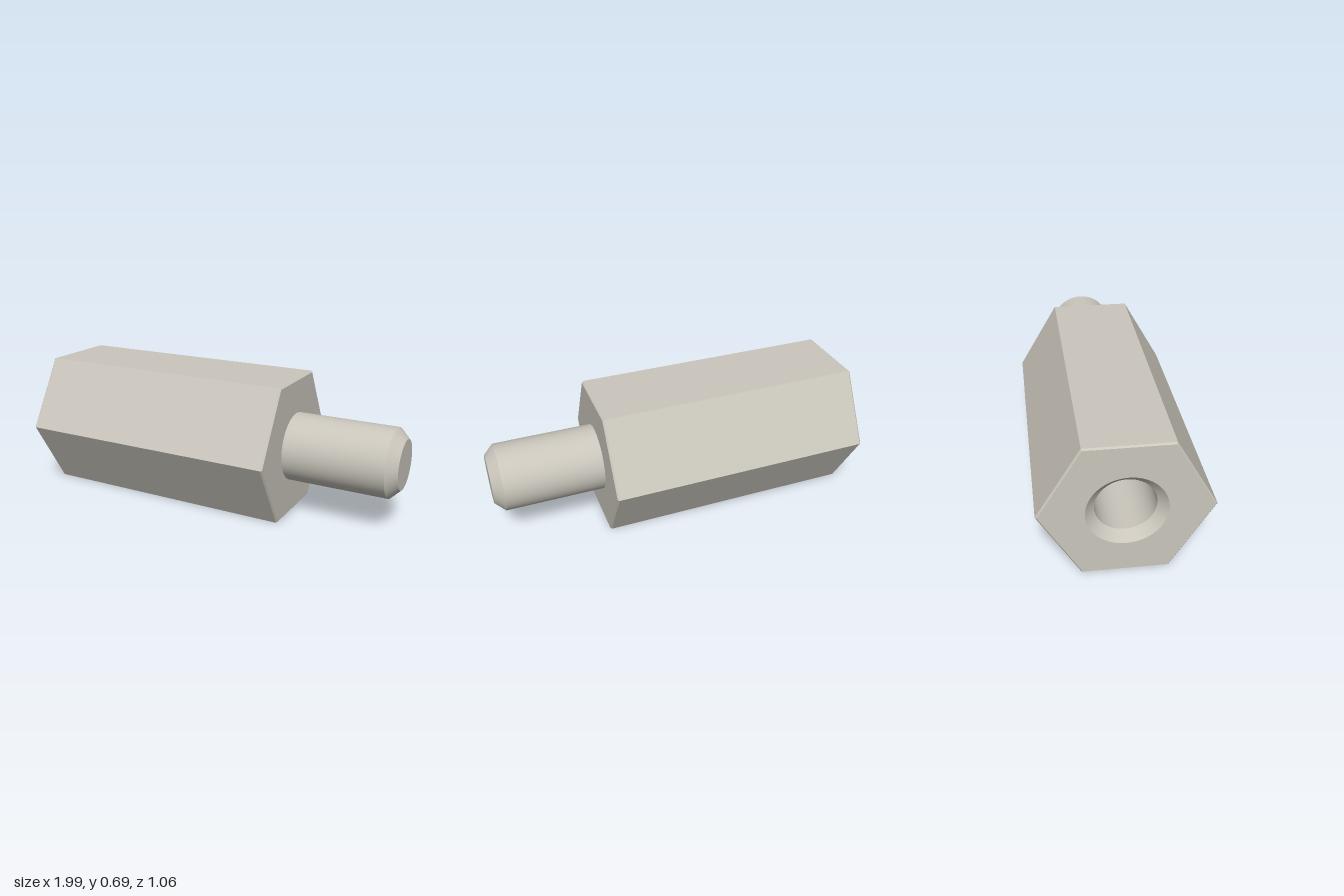
import * as THREE from 'three';
import { toCreasedNormals } from 'three/addons/utils/BufferGeometryUtils.js';

const HEX_R = 0.4;       // across-corners radius
const LENGTH = 1.37;     // hexagonal body length
const CHAMFER = 0.008;
const SEGMENTS = 64;
const SINK_R = 0.185;    // countersink radius

const metal = new THREE.MeshStandardMaterial({ color: 0xcac6bc });
metal.name = 'brushed metal';

function lathe(points, segments) {
  return new THREE.LatheGeometry(points.map(([r, y]) => new THREE.Vector2(r, y)), segments);
}

function part(name, geometry) {
  const mesh = new THREE.Mesh(geometry, metal);
  mesh.name = name;
  return mesh;
}

export function createModel() {
  // Parts run along +y from the socket end, then the whole is laid down
  const spacer = new THREE.Group();
  spacer.name = 'spacer';

  // Hexagonal body with slightly broken end edges, closed at the stud end
  const inner = HEX_R - CHAMFER;
  const body = lathe([
    [inner, 0], [HEX_R, CHAMFER], [HEX_R, LENGTH - CHAMFER], [inner, LENGTH], [0, LENGTH],
  ], 6).toNonIndexed();
  body.computeVertexNormals();
  spacer.add(part('hexBody', body));

  // Socket end face with a round opening
  const face = new THREE.Shape();
  for (let i = 0; i < 6; i++) {
    const a = Math.PI / 2 - i * Math.PI / 3;
    face[i ? 'lineTo' : 'moveTo'](inner * Math.cos(a), inner * Math.sin(a));
  }
  face.closePath();
  const opening = new THREE.Path();
  opening.absarc(0, 0, SINK_R, 0, Math.PI * 2, true);
  face.holes.push(opening);
  spacer.add(part('socketFace', new THREE.ShapeGeometry(face, SEGMENTS / 2).rotateX(Math.PI / 2)));

  // Countersunk blind hole, facing inwards
  const hole = lathe([[0, 0.8], [0.14, 0.8], [0.14, 0.045], [SINK_R, 0]], SEGMENTS);
  spacer.add(part('socketHole', toCreasedNormals(hole, 0.4)));

  // Round stud with a chamfered tip
  const stud = lathe([
    [0.173, LENGTH], [0.173, LENGTH + 0.508], [0.124, LENGTH + 0.558], [0, LENGTH + 0.558],
  ], SEGMENTS);
  spacer.add(part('stud', toCreasedNormals(stud, 0.4)));

  // Lay the axis along x and swing the stud towards the front
  spacer.rotation.z = -Math.PI / 2;
  const model = new THREE.Group();
  model.name = 'hexSpacer';
  const turned = new THREE.Group();
  turned.name = 'turnedSpacer';
  turned.add(spacer);
  turned.rotation.y = -THREE.MathUtils.degToRad(12);
  turned.position.set(-0.915, 0.346, -0.143);
  model.add(turned);
  return model;
}
